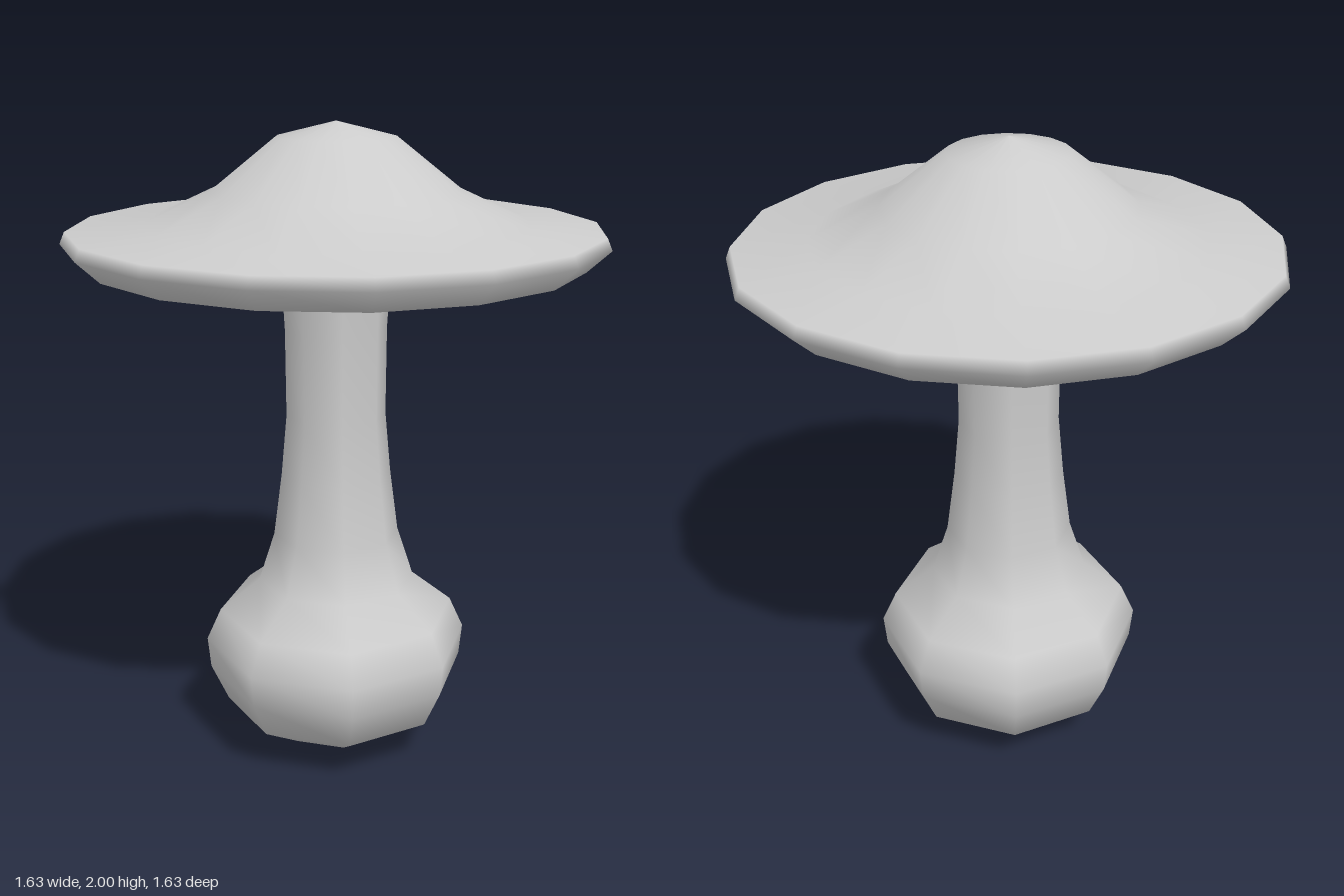
import * as THREE from 'three';

const material = new THREE.MeshStandardMaterial({ color: 0xcccccc });

// Turned part: profile of [radius, height] from bottom to top
function turned(name, profile, sides) {
  const points = profile.map(([r, y]) => new THREE.Vector2(r, y));
  const mesh = new THREE.Mesh(new THREE.LatheGeometry(points, sides), material);
  mesh.name = name;
  return mesh;
}

export function createModel() {
  const group = new THREE.Group();
  group.name = 'mushroom';

  // Bulbous foot flowing into the slender stem
  group.add(turned('stem', [
    [0, 0], [0.2, 0.05], [0.355, 0.145], [0.41, 0.265], [0.42, 0.365],
    [0.375, 0.465], [0.248, 0.565], [0.198, 0.72], [0.172, 0.92],
    [0.155, 1.11], [0.157, 1.38], [0.167, 1.56],
  ], 8));

  // Wide cap: flat underside, thin rounded rim, flared dome
  group.add(turned('cap', [
    [0, 1.555], [0.17, 1.555], [0.48, 1.55], [0.745, 1.59], [0.815, 1.655],
    [0.8, 1.69], [0.58, 1.705], [0.375, 1.8], [0.18, 1.955], [0, 2],
  ], 16));

  return group;
}
